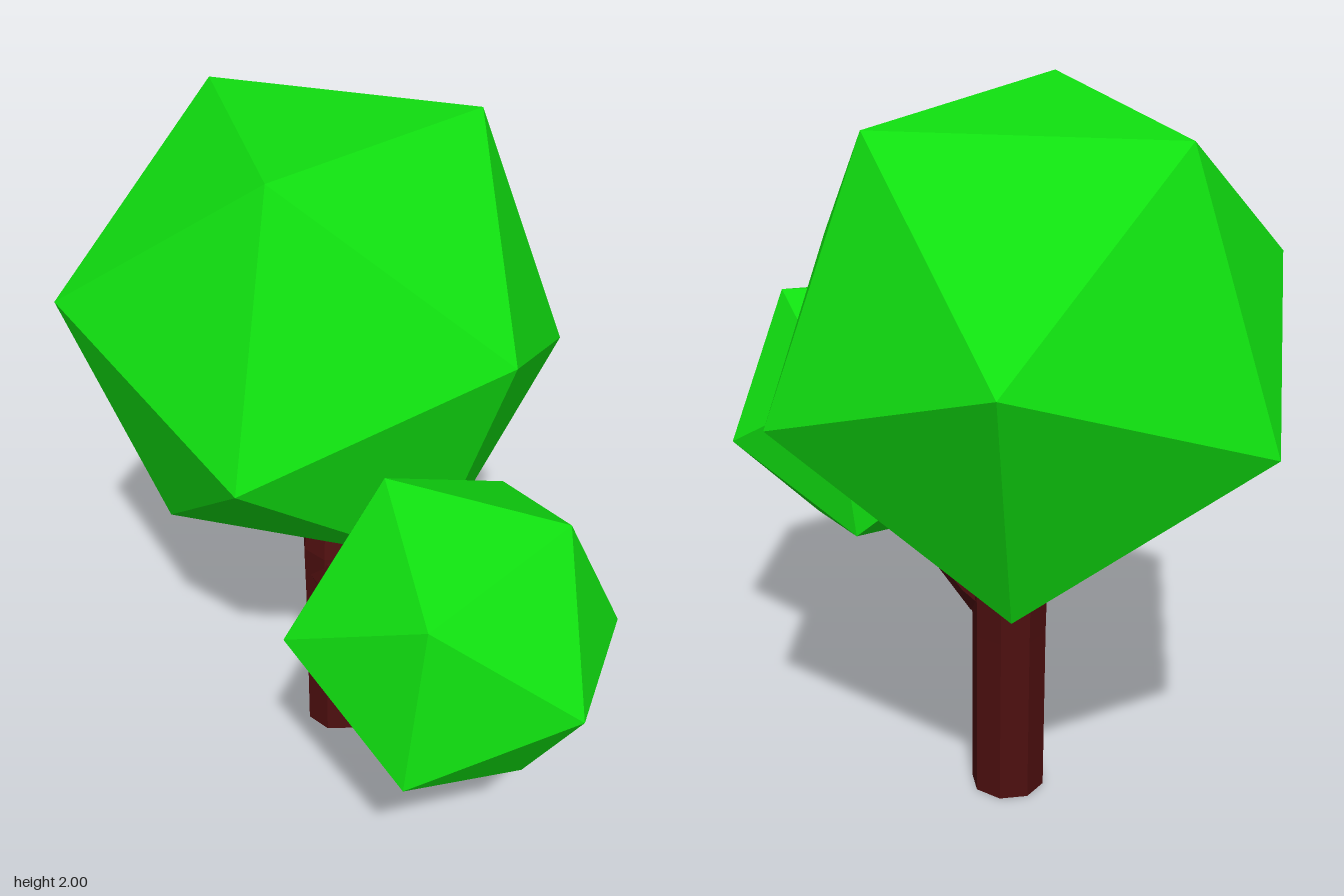
import * as THREE from 'three';

const leafMaterial = new THREE.MeshStandardMaterial({ color: 0x10e010, flatShading: true });
const barkMaterial = new THREE.MeshStandardMaterial({ color: 0x4d0f0f, flatShading: true });

// Icosahedron turned so that one edge runs between directions a and b
function foliage(name, radius, center, a, b) {
  const p = new THREE.Vector3(...a).normalize();
  const q = new THREE.Vector3(...b).normalize();
  const xAxis = q.clone().sub(p).normalize();
  const yAxis = q.clone().add(p).normalize();
  const zAxis = xAxis.clone().cross(yAxis);
  const mesh = new THREE.Mesh(new THREE.IcosahedronGeometry(radius, 0), leafMaterial);
  mesh.name = name;
  mesh.quaternion.setFromRotationMatrix(new THREE.Matrix4().makeBasis(xAxis, yAxis, zAxis));
  mesh.position.set(...center);
  return mesh;
}

// Tapered eight-sided limb; each ring is [y, z, radius, tilt towards +z]
function limb(name, rings) {
  const last = rings.length - 1;
  const geometry = new THREE.CylinderGeometry(1, 1, 1, 8, last);
  const pos = geometry.attributes.position;
  for (let i = 0; i < pos.count; i++) {
    const [y, z, r, tilt] = rings[Math.round((pos.getY(i) + 0.5) * last)];
    const side = pos.getZ(i) * r;
    pos.setXYZ(i, pos.getX(i) * r, y - side * Math.sin(tilt), z + side * Math.cos(tilt));
  }
  geometry.computeVertexNormals();
  const mesh = new THREE.Mesh(geometry, barkMaterial);
  mesh.name = name;
  return mesh;
}

export function createModel() {
  const tree = new THREE.Group();
  tree.name = 'tree';

  // Straight trunk, narrowing where it enters the crown
  tree.add(limb('trunk', [
    [0, -0.21, 0.105, 0],
    [0.5, -0.21, 0.105, 0],
    [0.69, -0.21, 0.108, 0],
    [0.82, -0.22, 0.082, 0],
    [0.95, -0.22, 0.08, 0],
  ]));

  // Side branch curving forwards and up
  tree.add(limb('branch', [
    [0.6, -0.21, 0.098, 1.57],
    [0.605, -0.12, 0.098, 1.5],
    [0.648, 0.055, 0.09, 1.0],
    [0.73, 0.21, 0.077, 1.12],
    [0.83, 0.36, 0.07, 1.0],
  ]));

  // Main crown and the smaller clump on the branch
  tree.add(foliage('crown', 0.736, [0, 1.39, -0.314], [-0.27, 0.61, 0.315], [0.46, 0.57, 0.055]));
  tree.add(foliage('branchFoliage', 0.455, [0, 0.93, 0.545], [-0.12, 0.4, -0.175], [0.23, 0.365, 0.145]));

  return tree;
}
